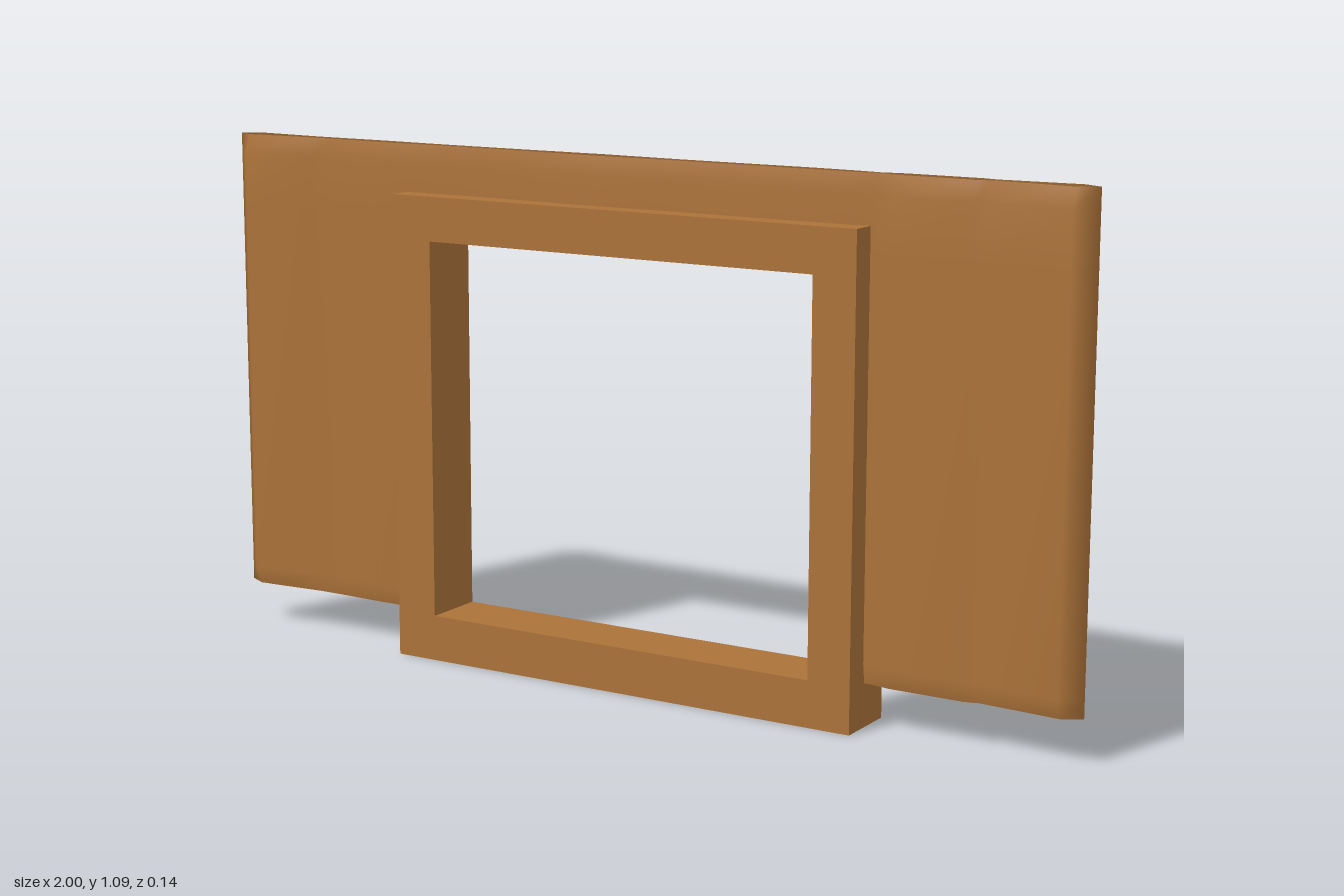
import * as THREE from 'three';
import { mergeGeometries, mergeVertices } from 'three/addons/utils/BufferGeometryUtils.js';

const wood = new THREE.MeshStandardMaterial({ color: 0xab7239, side: THREE.DoubleSide });
wood.name = 'warm brown wood';

// Uneven panel section: [x, depth behind, depth in front]
const section = [
  [-1, 0, 0], [-0.96, 0.038, 0.037], [-0.8, 0.024, 0.018], [-0.74, 0.024, 0.018],
  [-0.63, 0.027, 0.024], [-0.5, 0.022, 0.021], [-0.4, 0.021, 0.017], [-0.25, 0.024, 0.019],
  [-0.08, 0.031, 0.026], [0.1, 0.022, 0.018], [0.25, 0.024, 0.02], [0.4, 0.027, 0.018],
  [0.5, 0.022, 0.018], [0.55, 0.014, 0.012], [0.6, 0.028, 0.026], [0.76, 0.029, 0.028],
  [0.79, 0.019, 0.015], [0.96, 0.037, 0.036], [1, 0, 0],
];
// Rows up the wall: [y, depth factor]; top and bottom rims taper and stay open
const rows = [[0.09, 0.6], [0.13, 1], [0.94, 1], [1.05, 1], [1.09, 0.6]];

// One skin of the hollow wall, with the opening left out behind the frame
function wallSkin(side) {
  const positions = [], index = [], n = section.length;
  for (const [y, taper] of rows) {
    for (const [x, back, front] of section) {
      positions.push(x, y, (side > 0 ? front : -back) * taper);
    }
  }
  for (let r = 0; r < rows.length - 1; r++) {
    for (let i = 0; i < n - 1; i++) {
      const inOpening = rows[r + 1][0] <= 0.94 && section[i][0] >= -0.5 && section[i + 1][0] <= 0.5;
      if (inOpening) continue;
      const a = r * n + i, b = a + 1, c = b + n, d = a + n;
      if (side > 0) index.push(a, b, c, a, c, d);
      else index.push(a, c, b, a, d, c);
    }
  }
  const g = new THREE.BufferGeometry();
  g.setAttribute('position', new THREE.Float32BufferAttribute(positions, 3));
  g.setIndex(index);
  return g;
}

function rectangle(PathType, x, y0, y1) {
  const p = new PathType();
  p.moveTo(-x, y0).lineTo(x, y0).lineTo(x, y1).lineTo(-x, y1).closePath();
  return p;
}

export function createModel() {
  const group = new THREE.Group();
  group.name = 'framedWallPanel';

  // Hollow wall, smooth around the pointed ends
  const wallGeometry = mergeVertices(mergeGeometries([wallSkin(1), wallSkin(-1)]));
  wallGeometry.computeVertexNormals();
  const wall = new THREE.Mesh(wallGeometry, wood);
  wall.name = 'wall';
  group.add(wall);

  // Square-edged opening frame
  const outline = rectangle(THREE.Shape, 0.542, 0, 0.99);
  outline.holes.push(rectangle(THREE.Path, 0.449, 0.097, 0.897));
  const frameGeometry = new THREE.ExtrudeGeometry(outline, { depth: 0.138, bevelEnabled: false });
  frameGeometry.translate(0, 0, -0.069);
  const frame = new THREE.Mesh(frameGeometry, wood);
  frame.name = 'openingFrame';
  group.add(frame);

  return group;
}
